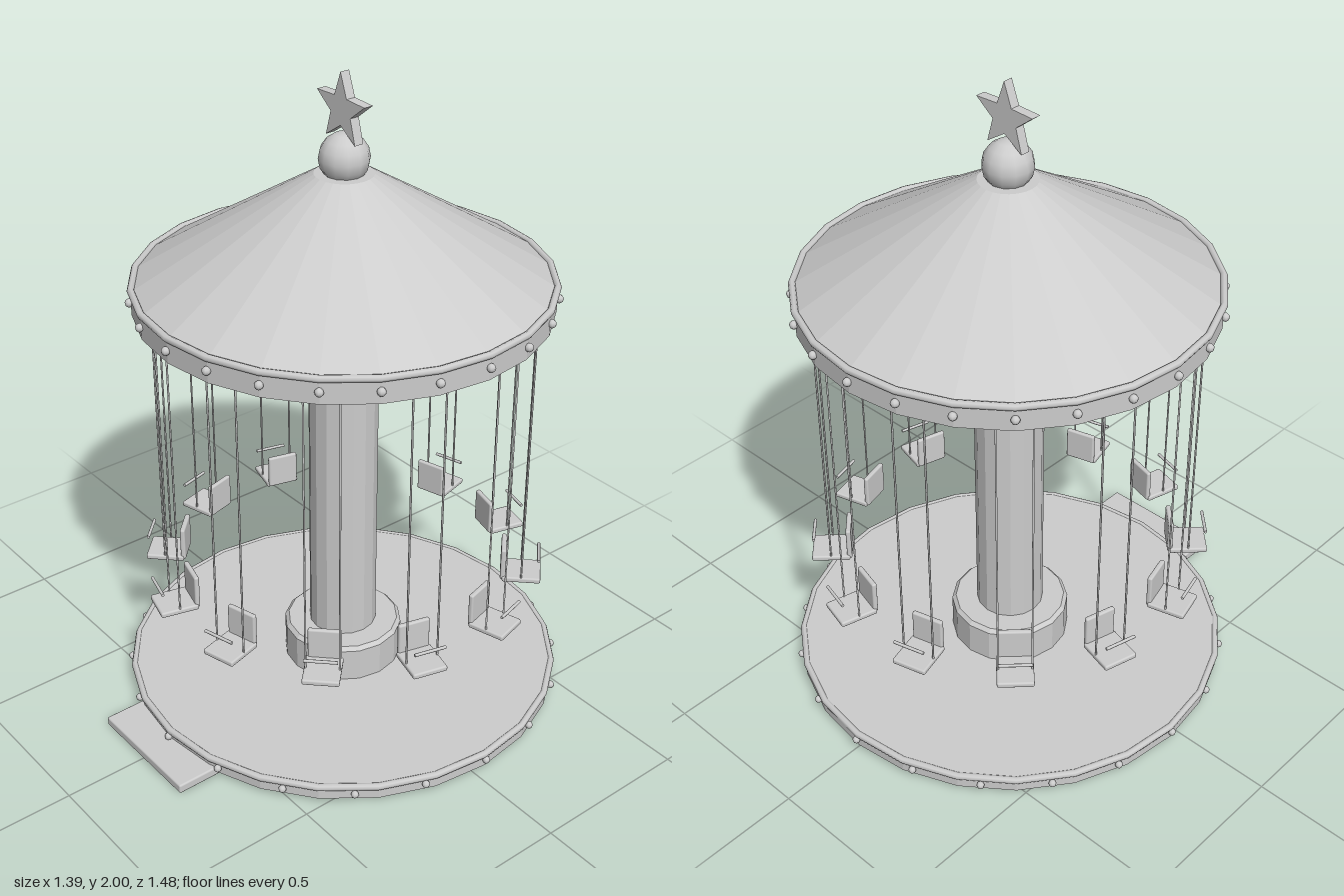
import * as THREE from 'three';
import { RoundedBoxGeometry } from 'three/addons/geometries/RoundedBoxGeometry.js';

const CENTRE_Z = -0.04;

export function createModel() {
  const model = new THREE.Group();
  model.name = 'swingCarousel';
  const ride = new THREE.Group();
  ride.name = 'ride';
  ride.position.z = CENTRE_Z;
  model.add(ride);

  const grey = new THREE.MeshStandardMaterial({ color: 0xcccccc });
  grey.name = 'light grey';

  function add(parent, name, geometry, x = 0, y = 0, z = 0) {
    const mesh = new THREE.Mesh(geometry, grey);
    mesh.name = name;
    mesh.position.set(x, y, z);
    parent.add(mesh);
    return mesh;
  }

  // Faceted turned solid from [radius, height] pairs, listed bottom to top
  function turned(points, sides) {
    const profile = points.map(([r, y]) => new THREE.Vector2(r, y));
    const geometry = new THREE.LatheGeometry(profile, sides).toNonIndexed();
    geometry.computeVertexNormals();
    return geometry;
  }

  function ring(name, radius, tube, y, sides) {
    const geometry = new THREE.TorusGeometry(radius, tube, 8, sides).rotateX(Math.PI / 2);
    return add(ride, name, geometry, 0, y);
  }

  // Small lamps evenly spaced around a circle
  function bulbs(name, count, radius, y, size) {
    const group = new THREE.Group();
    group.name = name;
    const geometry = new THREE.SphereGeometry(size, 8, 6);
    for (let i = 0; i < count; i++) {
      const a = (i / count) * Math.PI * 2;
      add(group, 'bulb', geometry, Math.sin(a) * radius, y, Math.cos(a) * radius);
    }
    ride.add(group);
  }

  // Platform with its rim, lamps and entry step
  add(ride, 'platform', turned([[0, 0.005], [0.672, 0.005], [0.68, 0.012], [0.68, 0.06], [0, 0.06]], 24));
  ring('platformRim', 0.676, 0.011, 0.052, 24);
  bulbs('platformBulbs', 20, 0.685, 0.036, 0.012);
  add(model, 'step', new RoundedBoxGeometry(0.4, 0.03, 0.17, 2, 0.006), 0, 0.015, 0.655);

  // Central column
  add(ride, 'columnBase', turned(
    [[0, 0.055], [0.187, 0.055], [0.187, 0.168], [0.175, 0.18], [0, 0.18]], 16));
  add(ride, 'column', turned([[0, 0.17], [0.106, 0.17], [0.106, 1.2], [0, 1.2]], 16));
  ring('columnCollar', 0.121, 0.019, 1.272, 20);

  // Canopy
  add(ride, 'canopyBand', turned([[0, 1.307], [0.615, 1.307], [0.615, 1.385], [0, 1.385]], 24));
  ring('canopyRim', 0.614, 0.011, 1.383, 24);
  add(ride, 'canopyRoof', turned([[0, 1.385], [0.605, 1.385], [0.087, 1.705], [0, 1.705]], 24));
  bulbs('canopyBulbs', 24, 0.62, 1.346, 0.013);

  // Finial ball and star
  add(ride, 'finialBall', new THREE.SphereGeometry(0.075, 12, 8), 0, 1.75, 0);
  const star = new THREE.Shape();
  for (let i = 0; i < 10; i++) {
    const r = i % 2 ? 0.045 : 0.108;
    const a = (i * Math.PI) / 5;
    star[i ? 'lineTo' : 'moveTo'](Math.sin(a) * r, Math.cos(a) * r);
  }
  star.closePath();
  const starGeometry = new THREE.ExtrudeGeometry(star, { depth: 0.03, bevelEnabled: false });
  add(ride, 'star', starGeometry.translate(0, 0, -0.015), 0, 1.892, 0);

  // Hanging seats, facing outward
  const seatGeometry = new RoundedBoxGeometry(0.11, 0.018, 0.12, 2, 0.006);
  const backGeometry = new RoundedBoxGeometry(0.1, 0.11, 0.016, 2, 0.006);
  const barGeometry = new THREE.CylinderGeometry(0.005, 0.005, 0.1, 8).rotateZ(Math.PI / 2);
  const cableGeometry = new THREE.CylinderGeometry(0.003, 0.003, 0.92, 6);
  for (let i = 0; i < 12; i++) {
    const swing = new THREE.Group();
    swing.name = 'swing';
    swing.rotation.y = ((i + 0.5) / 12) * Math.PI * 2;
    add(swing, 'seat', seatGeometry, 0, 0.393, 0.563);
    add(swing, 'backrest', backGeometry, 0, 0.443, 0.505);
    add(swing, 'safetyBar', barGeometry, 0, 0.466, 0.614);
    for (const side of [-1, 1]) add(swing, 'cable', cableGeometry, side * 0.05, 0.855, 0.563);
    ride.add(swing);
  }

  return model;
}
